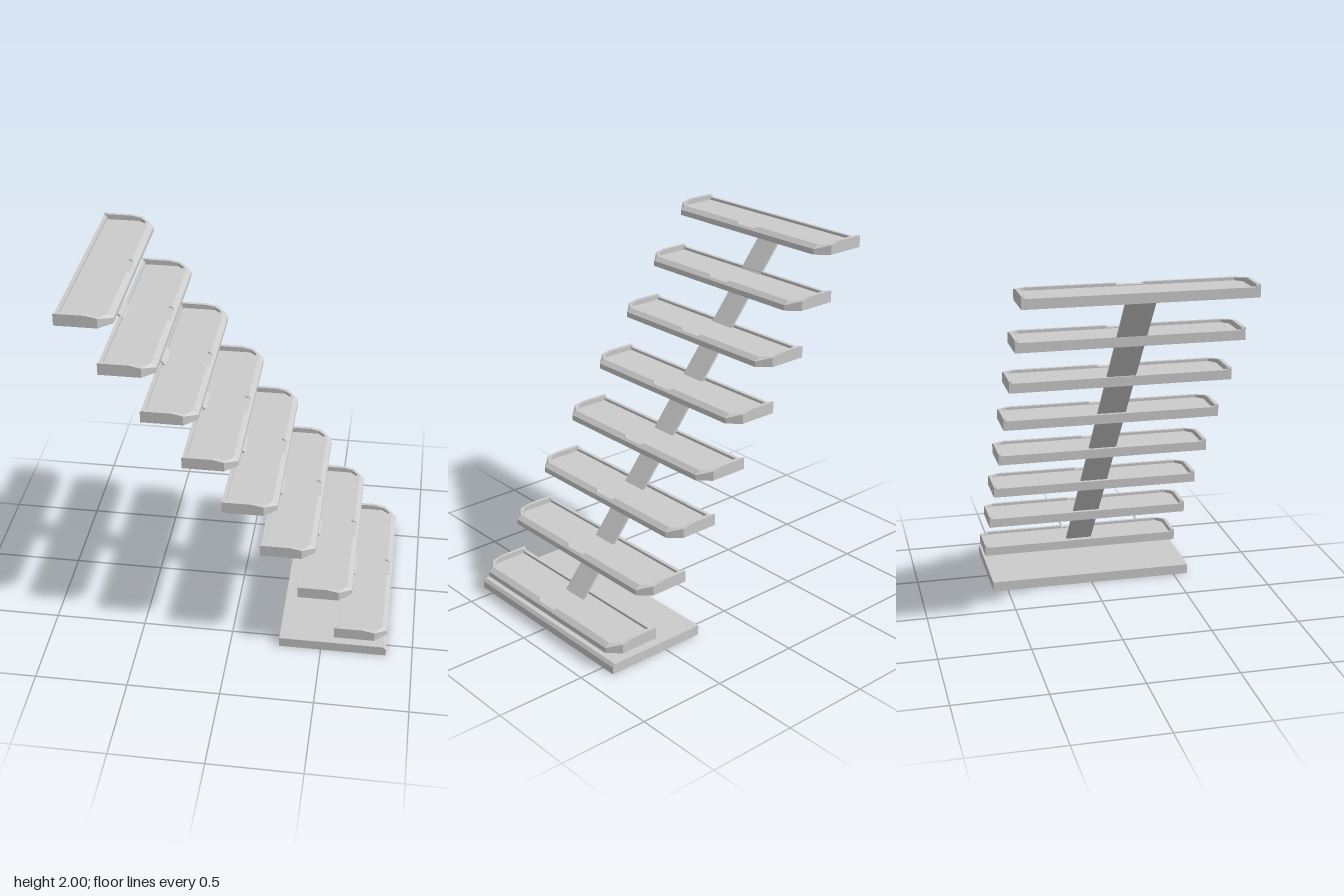
import * as THREE from 'three';

const material = new THREE.MeshStandardMaterial({ color: 0xcccccc, flatShading: true, side: THREE.DoubleSide });
const FLOOR = 0.036;

// Each station runs across the tray wall: bottom, shoulder, rim outside, rim inside, floor.
// Values are [x from the tray back, height, z]; one half only, from back to front.
function station(outer, shoulderY, rimOut, rimIn) {
  const [x, z] = outer;
  return [[x, 0, z], [x, shoulderY, z], rimOut, rimIn, [rimIn[0], FLOOR, rimIn[2]]];
}

function trayGeometry() {
  const half = [
    station([0, 0.584], 0.065, [0, 0.065, 0.584], [0.02, 0.065, 0.564]),
    station([0.16, 0.584], 0.065, [0.16, 0.065, 0.584], [0.16, 0.065, 0.564]),
    station([0.22, 0.584], 0.053, [0.215, 0.055, 0.578], [0.205, 0.056, 0.564]),
    station([0.287, 0.522], 0.03, [0.26, 0.051, 0.522], [0.242, 0.051, 0.53]),
    // shallow notch in the middle of the front lip
    station([0.287, 0.075], 0.03, [0.26, 0.051, 0.075], [0.242, 0.051, 0.075]),
    station([0.287, 0.06], 0.03, [0.274, 0.041, 0.06], [0.242, 0.041, 0.072]),
  ];
  // low back wall between the raised ends
  half.unshift(station([0, 0.564], 0.051, [0, 0.051, 0.564], [0.02, 0.051, 0.563]));
  const mirrored = half.map(s => s.map(([x, y, z]) => [x, y, -z])).reverse();
  const loop = [...half, ...mirrored];

  const pos = [];
  const tri = (a, b, c) => pos.push(...a, ...b, ...c);
  const n = loop.length;
  for (let i = 0; i < n; i++) {
    const s = loop[i], t = loop[(i + 1) % n];
    for (let j = 0; j < 4; j++) {
      tri(s[j], t[j], t[j + 1]);
      tri(s[j], t[j + 1], s[j + 1]);
    }
    // underside and floor
    tri([0.14, 0, 0], t[0], s[0]);
    tri([0.14, FLOOR, 0], s[4], t[4]);
  }
  const geo = new THREE.BufferGeometry();
  geo.setAttribute('position', new THREE.Float32BufferAttribute(pos, 3));
  geo.computeVertexNormals();
  return geo;
}

export function createModel() {
  const model = new THREE.Group();
  model.name = 'tieredDisplayStand';

  // Eight trays rising towards the back
  const geo = trayGeometry();
  for (let i = 0; i < 8; i++) {
    const tray = new THREE.Mesh(geo, material);
    tray.name = `tray${i + 1}`;
    tray.position.set(0.569 - i * 0.2042, 0.098 + i * 0.2624, 0);
    model.add(tray);
  }

  // Base plate with a bevelled front edge
  const profile = new THREE.Shape([
    [0.27, 0], [0.857, 0], [0.857, 0.04], [0.843, 0.056], [0.27, 0.056],
  ].map(p => new THREE.Vector2(...p)));
  const baseGeo = new THREE.ExtrudeGeometry(profile, { depth: 1.168, bevelEnabled: false });
  baseGeo.translate(0, 0, -0.584);
  const base = new THREE.Mesh(baseGeo, material);
  base.name = 'basePlate';
  model.add(base);

  // Slanted support strip joining base and trays
  const a = new THREE.Vector2(0.714, 0.05), b = new THREE.Vector2(-0.824, 1.94);
  const d = b.clone().sub(a);
  const strip = new THREE.Mesh(new THREE.BoxGeometry(d.length(), 0.012, 0.152), material);
  strip.name = 'supportStrip';
  strip.position.set((a.x + b.x) / 2, (a.y + b.y) / 2, 0);
  strip.rotation.z = d.angle();
  model.add(strip);

  return model;
}
